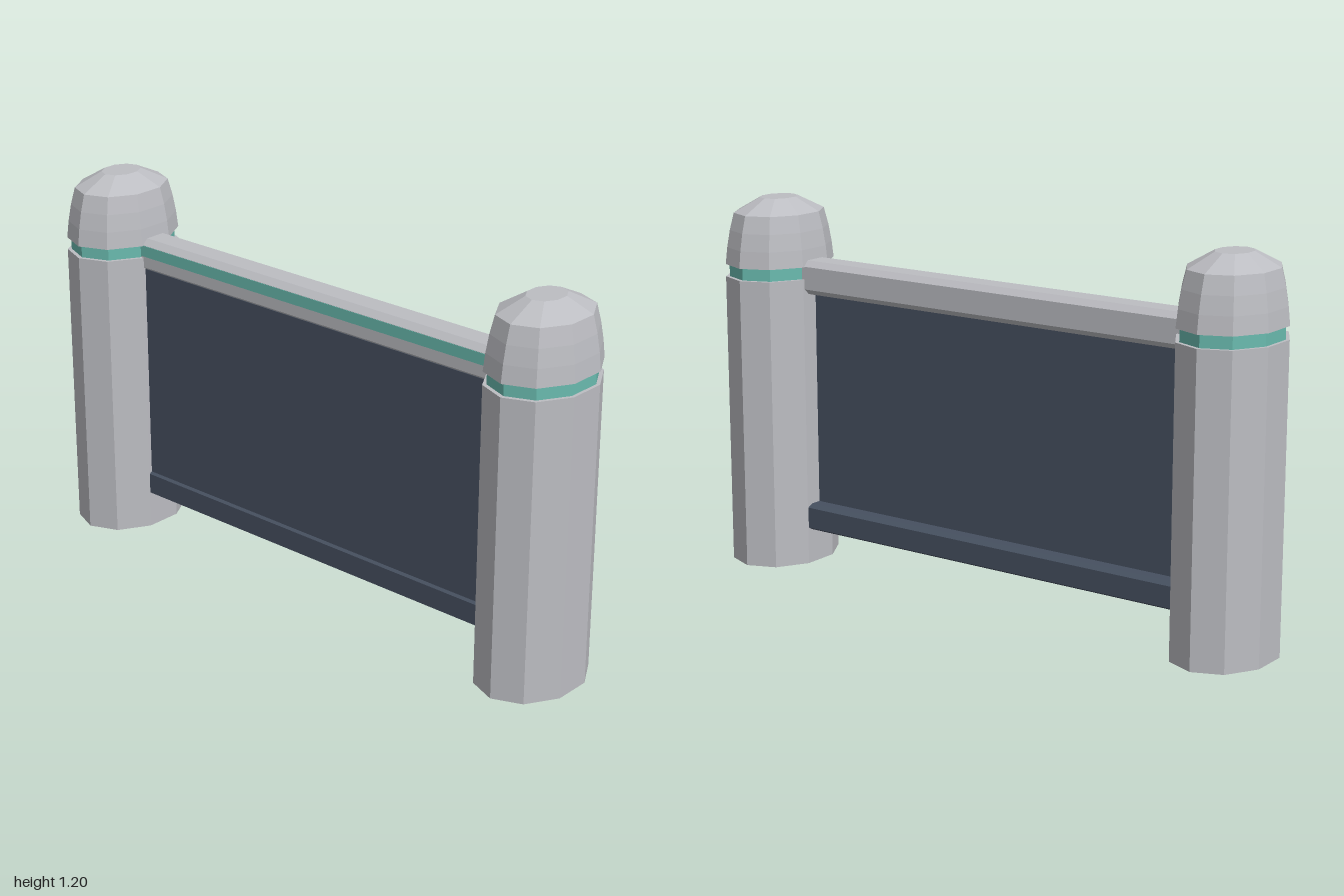
import * as THREE from 'three';

const flat = (name, color) => {
  const m = new THREE.MeshStandardMaterial({ color });
  m.name = name;
  m.flatShading = true;
  return m;
};

export function createModel() {
  const grey = flat('light grey', 0xbcbdc2);
  const teal = flat('teal', 0x6abbaf);
  const slate = flat('dark slate', 0x465060);

  const model = new THREE.Group();
  model.name = 'barrier';

  const add = (parent, name, geometry, material) => {
    const mesh = new THREE.Mesh(geometry, material);
    mesh.name = name;
    parent.add(mesh);
    return mesh;
  };

  // Ten-sided oval posts, with a corner pointing to the front and back
  const SIDES = 10, RX = 0.158, RZ = 0.197;
  const ovalLathe = (points) =>
    new THREE.LatheGeometry(points.map(([r, y]) => new THREE.Vector2(r, y)), SIDES).scale(RX, 1, RZ);

  for (const side of [-1, 1]) {
    const post = new THREE.Group();
    post.name = side > 0 ? 'leftPost' : 'rightPost';
    post.position.x = side * 0.85;
    add(post, 'shaft', ovalLathe([[0, 0], [1, 0], [1, 0.95], [0, 0.95]]), grey);
    add(post, 'collar', ovalLathe([[0.93, 0.95], [0.93, 0.99]]), teal);
    add(post, 'domeCap', ovalLathe([
      [0, 0.99], [1, 0.99], [0.965, 1.045], [0.91, 1.1], [0.83, 1.155], [0.35, 1.2], [0, 1.2],
    ]), grey);
    model.add(post);
  }

  // Beam along x with chamfered long edges
  const LENGTH = 1.43;
  const beam = (y0, y1, halfZ, chamferZ, chamferY) => {
    const a = halfZ - chamferZ;
    const shape = new THREE.Shape([
      [-a, y0], [a, y0], [halfZ, y0 + chamferY], [halfZ, y1 - chamferY],
      [a, y1], [-a, y1], [-halfZ, y1 - chamferY], [-halfZ, y0 + chamferY],
    ].map(([x, y]) => new THREE.Vector2(x, y)));
    return new THREE.ExtrudeGeometry(shape, { depth: LENGTH, bevelEnabled: false })
      .translate(0, 0, -LENGTH / 2).rotateY(-Math.PI / 2);
  };

  add(model, 'topRail', beam(0.9, 1.01, 0.055, 0.02, 0.018), grey);
  add(model, 'bottomRail', beam(0.112, 0.2, 0.058, 0.018, 0.01), slate);

  // Accent stripe on the front of the top rail only
  add(model, 'railStripe', new THREE.BoxGeometry(LENGTH, 0.036, 0.004), teal)
    .position.set(0, 0.973, 0.0545);

  // Infill panel, set towards the front
  add(model, 'panel', new THREE.BoxGeometry(LENGTH, 0.76, 0.05), slate)
    .position.set(0, 0.53, 0.023);

  return model;
}
